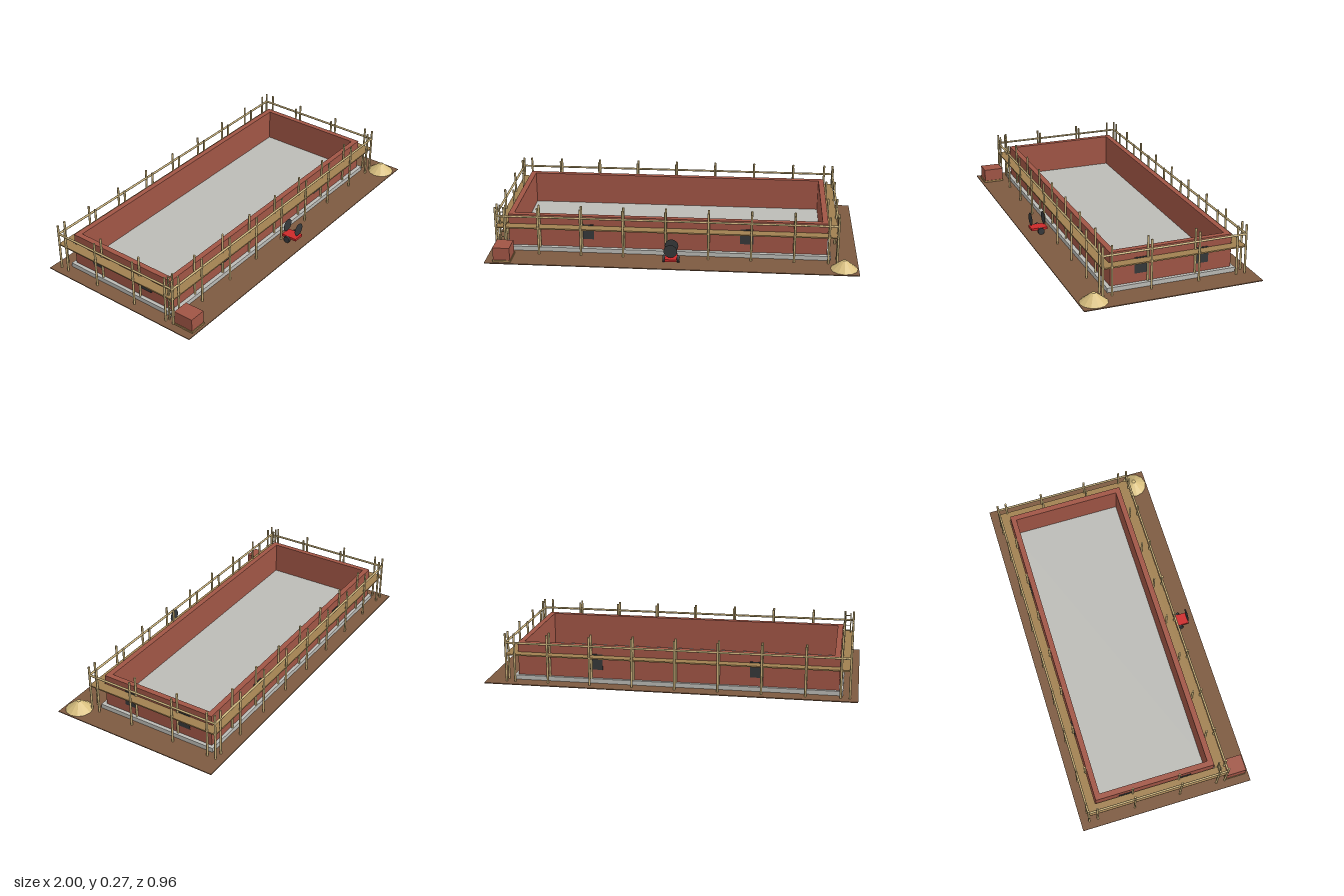
import * as THREE from 'three';

const mat = (name, color) => {
  const m = new THREE.MeshStandardMaterial({ color });
  m.name = name;
  return m;
};

export function createModel() {
  const earth = mat('earth', 0x7d5a40);
  const brick = mat('brick', 0xa05545);
  const concrete = mat('concrete', 0xbbbbb6);
  const pole = mat('pole wood', 0xc8b07a);
  const plank = mat('plank wood', 0xa08050);
  const sand = mat('sand', 0xd9c080);
  sand.flatShading = true;
  const dark = mat('dark', 0x36383a);
  const red = mat('red', 0xcc2a2a);

  const model = new THREE.Group();
  model.name = 'constructionSite';
  const group = (name) => {
    const g = new THREE.Group();
    g.name = name;
    model.add(g);
    return g;
  };
  const add = (parent, name, geo, material, x = 0, y = 0, z = 0) => {
    const m = new THREE.Mesh(geo, material);
    m.name = name;
    m.position.set(x, y, z);
    parent.add(m);
    return m;
  };
  // Box given by its limits on each axis
  const box = (parent, name, material, x0, x1, y0, y1, z0, z1) =>
    add(parent, name, new THREE.BoxGeometry(x1 - x0, y1 - y0, z1 - z0), material,
      (x0 + x1) / 2, (y0 + y1) / 2, (z0 + z1) / 2);
  // Rectangular ring lying flat, extruded upwards
  const ring = (parent, name, material, [x0, x1, z0, z1], t, y, h) => {
    const rect = (C, d) => new C([[x0 + d, -z1 + d], [x1 - d, -z1 + d], [x1 - d, -z0 - d], [x0 + d, -z0 - d]]
      .map(([a, b]) => new THREE.Vector2(a, b)));
    const shape = rect(THREE.Shape, 0);
    shape.holes.push(rect(THREE.Path, t));
    const geo = new THREE.ExtrudeGeometry(shape, { depth: h, bevelEnabled: false }).rotateX(-Math.PI / 2);
    return add(parent, name, geo, material, 0, y, 0);
  };

  box(model, 'ground', earth, -1, 1, 0, 0.005, -0.48, 0.48);

  // Building shell
  const house = group('building');
  const [X0, X1, Z0, Z1] = [-0.9, 0.835, -0.377, 0.285];
  box(house, 'foundationSlab', concrete, X0 - 0.02, X1 + 0.02, 0.003, 0.029, Z0 - 0.017, Z1 + 0.022);
  ring(house, 'walls', brick, [X0, X1, Z0, Z1], 0.03, 0.029, 0.18);
  const cx = (X0 + X1) / 2, cz = (Z0 + Z1) / 2;
  for (const s of [-1, 1]) {
    const wx = cx + s * (X1 - X0) / 4, wz = cz + s * (Z1 - Z0) / 4;
    for (const z of [Z0, Z1])
      box(house, 'window', dark, wx - 0.036, wx + 0.036, 0.077, 0.163, z - 0.004, z + 0.004);
    for (const x of [X0, X1])
      box(house, 'window', dark, x - 0.004, x + 0.004, 0.077, 0.163, wz - 0.036, wz + 0.036);
  }

  // Scaffolding: paired posts, plank walkway and guard rail
  const scaffold = group('scaffolding');
  const [SX0, SX1, SZ0, SZ1] = [-0.957, 0.888, -0.433, 0.343];
  const gap = 0.048, r = 0.006;
  const postGeo = new THREE.CylinderGeometry(r, r, 0.272, 8);
  const post = (x, z) => add(scaffold, 'post', postGeo, pole, x, 0.136, z);
  for (let i = 0; i <= 8; i++) {
    const x = SX0 + (SX1 - SX0) * i / 8;
    for (const z of [SZ0, SZ0 + gap, SZ1 - gap, SZ1]) post(x, z);
  }
  for (let i = 0; i <= 3; i++) {
    const z = SZ0 + (SZ1 - SZ0) * i / 3;
    post(SX0 + gap, z);
    post(SX1 - gap, z);
    if (i === 1 || i === 2) {
      post(SX0, z);
      post(SX1, z);
    }
  }
  ring(scaffold, 'walkway', plank, [SX0 - 0.003, SX1 + 0.003, SZ0 - 0.003, SZ1 + 0.003], 0.054, 0.151, 0.007);
  const rail = (len, x, z, alongX) => {
    const geo = new THREE.CylinderGeometry(r, r, len, 8);
    if (alongX) geo.rotateZ(Math.PI / 2); else geo.rotateX(Math.PI / 2);
    add(scaffold, 'guardRail', geo, pole, x, 0.221, z);
  };
  for (const z of [SZ0, SZ1]) rail(SX1 - SX0, (SX0 + SX1) / 2, z, true);
  for (const x of [SX0, SX1]) rail(SZ1 - SZ0, x, (SZ0 + SZ1) / 2, false);

  // Ladder at the front corner
  const ladder = group('ladder');
  for (const x of [-0.941, -0.909])
    box(ladder, 'ladderRail', pole, x - 0.003, x + 0.003, 0.003, 0.272, 0.301, 0.309);
  for (let i = 0; i < 9; i++) {
    const y = 0.025 + i * 0.029;
    box(ladder, 'rung', pole, -0.941, -0.909, y - 0.002, y + 0.002, 0.303, 0.307);
  }

  // Brick stack on a pallet
  const stack = group('brickStack');
  box(stack, 'pallet', plank, -0.957, -0.86, 0.005, 0.015, 0.347, 0.466);
  box(stack, 'bricks', brick, -0.954, -0.863, 0.015, 0.085, 0.35, 0.461);

  // Cement mixer
  const mixer = group('cementMixer');
  box(mixer, 'mixerFrame', red, -0.032, 0.032, 0.027, 0.04, 0.347, 0.438);
  box(mixer, 'axle', red, -0.044, 0.044, 0.03, 0.038, 0.379, 0.393);
  for (const s of [-1, 1]) {
    const wheel = new THREE.CylinderGeometry(0.019, 0.019, 0.012, 12).rotateZ(Math.PI / 2);
    add(mixer, 'wheel', wheel, dark, s * 0.039, 0.023, 0.386);
  }
  const discMat = dark.clone();
  discMat.side = THREE.DoubleSide;
  for (const z of [0.361, 0.434])
    add(mixer, 'drumDisc', new THREE.CircleGeometry(0.037, 16), discMat, 0, 0.087, z);

  // Sand heap
  add(model, 'sandHeap', new THREE.CylinderGeometry(0.011, 0.073, 0.05, 12), sand, 0.922, 0.03, 0.403);

  return model;
}
